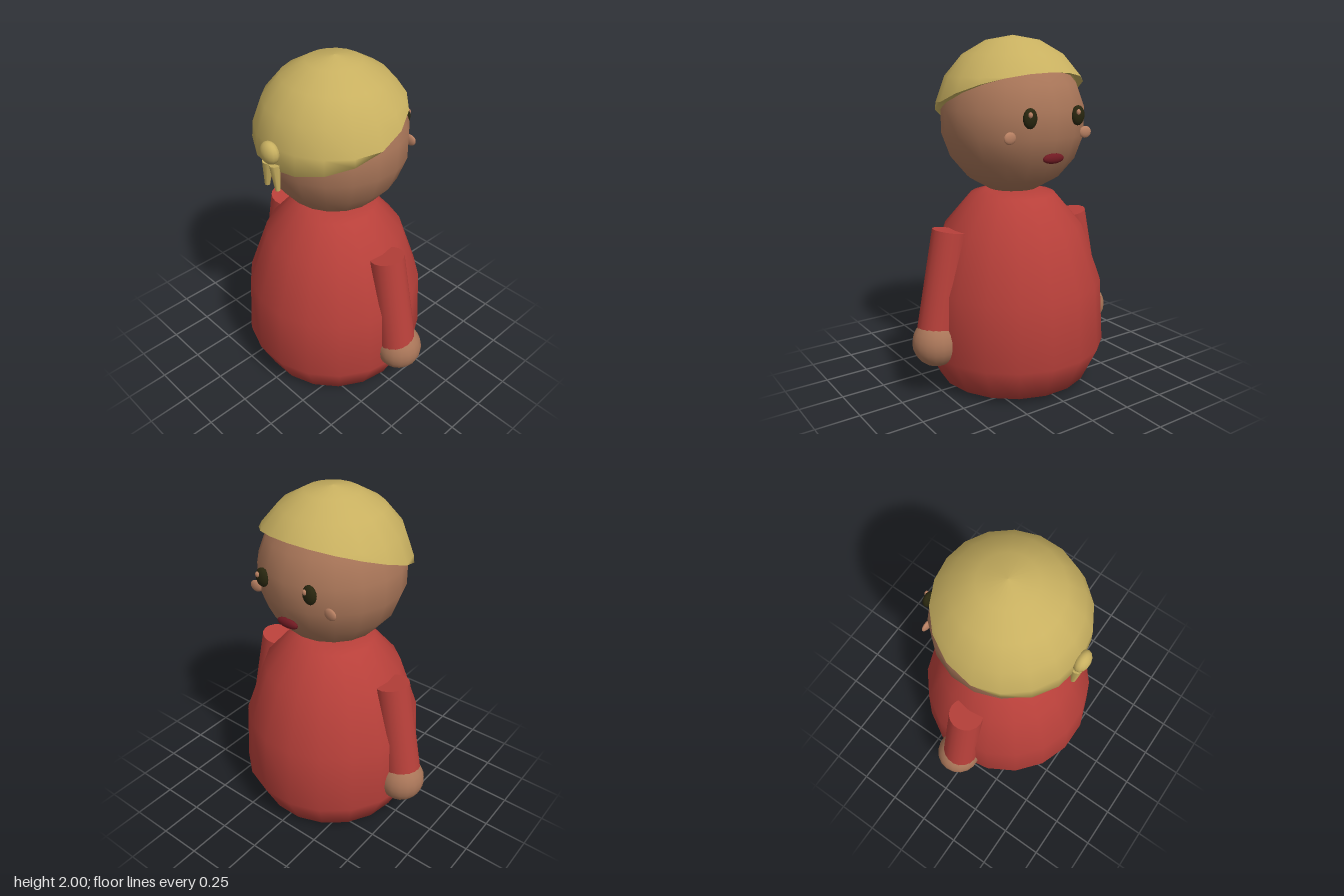
import * as THREE from 'three';

const mat = (name, color, extra = {}) => {
  const m = new THREE.MeshStandardMaterial({ color, ...extra });
  m.name = name;
  return m;
};

// Hair cap: upper sphere trimmed by a plane that slopes down towards the nape
function hairGeometry() {
  const r = 0.44, cy = 1.56, slope = 0.37, drop = 0.113, segs = 18;
  const rows = [0, 20, 40, 60, 80, 100, 'rim'];
  const pos = [], idx = [];
  rows.forEach((row) => {
    for (let j = 0; j < segs; j++) {
      const phi = (j / segs) * Math.PI * 2;
      const k = slope * Math.cos(phi);
      const limit = Math.atan(k) + Math.acos(drop / (r * Math.hypot(1, k)));
      const theta = row === 'rim' ? limit : Math.min(THREE.MathUtils.degToRad(row), limit);
      const s = r * Math.sin(theta) * (row === 'rim' ? 0.9 : 1);
      pos.push(s * Math.sin(phi), cy + r * Math.cos(theta), s * Math.cos(phi));
    }
  });
  for (let i = 0; i < rows.length - 1; i++) {
    for (let j = 0; j < segs; j++) {
      const n = (j + 1) % segs;
      const a = i * segs + j, b = a + segs, c = (i + 1) * segs + n, d = i * segs + n;
      idx.push(a, b, c, a, c, d);
    }
  }
  const g = new THREE.BufferGeometry();
  g.setAttribute('position', new THREE.Float32BufferAttribute(pos, 3));
  g.setIndex(idx);
  g.computeVertexNormals();
  return g;
}

export function createModel() {
  const model = new THREE.Group();
  model.name = 'figure';
  const robe = mat('robe red', 0xb8403a);
  const skin = mat('skin brown', 0xa87558);
  const hair = mat('hair blond', 0xc8b060, { side: THREE.DoubleSide });
  const eyeDark = mat('eye dark', 0x28260f);
  const lip = mat('mouth red', 0x701a22);
  const cheekTone = mat('cheek tan', 0xb88062);
  const shoe = mat('foot dark red', 0x6e2222);

  const add = (name, geometry, material, p = [0, 0, 0]) => {
    const m = new THREE.Mesh(geometry, material);
    m.name = name;
    m.position.set(...p);
    model.add(m);
    return m;
  };
  const ellipsoid = (name, material, p, s, w = 18, h = 9) => {
    const m = add(name, new THREE.SphereGeometry(1, w, h), material, p);
    m.scale.set(...s);
    return m;
  };

  // Robe
  const profile = [[0, 0.03], [0.445, 0.03], [0.538, 0.225], [0.517, 0.6],
    [0.402, 0.93], [0.245, 1.115], [0.155, 1.138], [0, 1.138]]
    .map(([x, y]) => new THREE.Vector2(x, y));
  add('robe', new THREE.LatheGeometry(profile, 18, Math.PI / 18), robe);

  // Head and hair
  const head = ellipsoid('head', skin, [0, 1.535, 0], [0.413, 0.413, 0.413]);
  head.rotation.y = Math.PI / 2;
  add('hair', hairGeometry(), hair);
  ellipsoid('hairKnot', hair, [0, 1.61, 0.445], [0.062, 0.062, 0.042], 14, 10);

  // Mouth
  ellipsoid('mouth', lip, [0, 1.36, -0.38], [0.07, 0.028, 0.02], 14, 8);

  for (const side of [1, -1]) {
    const label = side > 0 ? 'left' : 'right';

    // Hair tails below the knot
    const tail = add(label + 'HairTail', new THREE.CylinderGeometry(0.03, 0.014, 0.145, 8),
      hair, [side * 0.035, 1.475, 0.438]);
    tail.rotation.z = side * 0.1;

    // Face
    ellipsoid(label + 'Eye', eyeDark, [side * 0.157, 1.58, -0.385], [0.042, 0.054, 0.025], 14, 10);
    ellipsoid(label + 'EyeGlint', cheekTone, [side * 0.157 + 0.014, 1.6, -0.408], [0.013, 0.016, 0.01], 10, 6);
    const cheek = ellipsoid(label + 'Cheek', cheekTone, [side * 0.25, 1.48, -0.338], [0.04, 0.033, 0.014], 12, 8);
    cheek.rotation.y = side * 0.08;

    // Sleeve, tilted outwards, with the hand at its end
    const top = new THREE.Vector3(side * 0.422, 0.946, 0);
    const end = new THREE.Vector3(side * 0.527, 0.375, -0.008);
    const sleeve = add(label + 'Sleeve',
      new THREE.CylinderGeometry(0.1, 0.11, top.distanceTo(end), 18), robe);
    sleeve.position.copy(top).add(end).multiplyScalar(0.5);
    sleeve.quaternion.setFromUnitVectors(new THREE.Vector3(0, 1, 0), top.clone().sub(end).normalize());
    ellipsoid(label + 'Hand', skin, [side * 0.535, 0.32, -0.02], [0.136, 0.136, 0.136], 18, 12);

    // Foot, mostly hidden under the robe
    ellipsoid(label + 'Foot', shoe, [side * 0.2, 0.06, -0.105], [0.14, 0.06, 0.19]);
  }
  return model;
}
